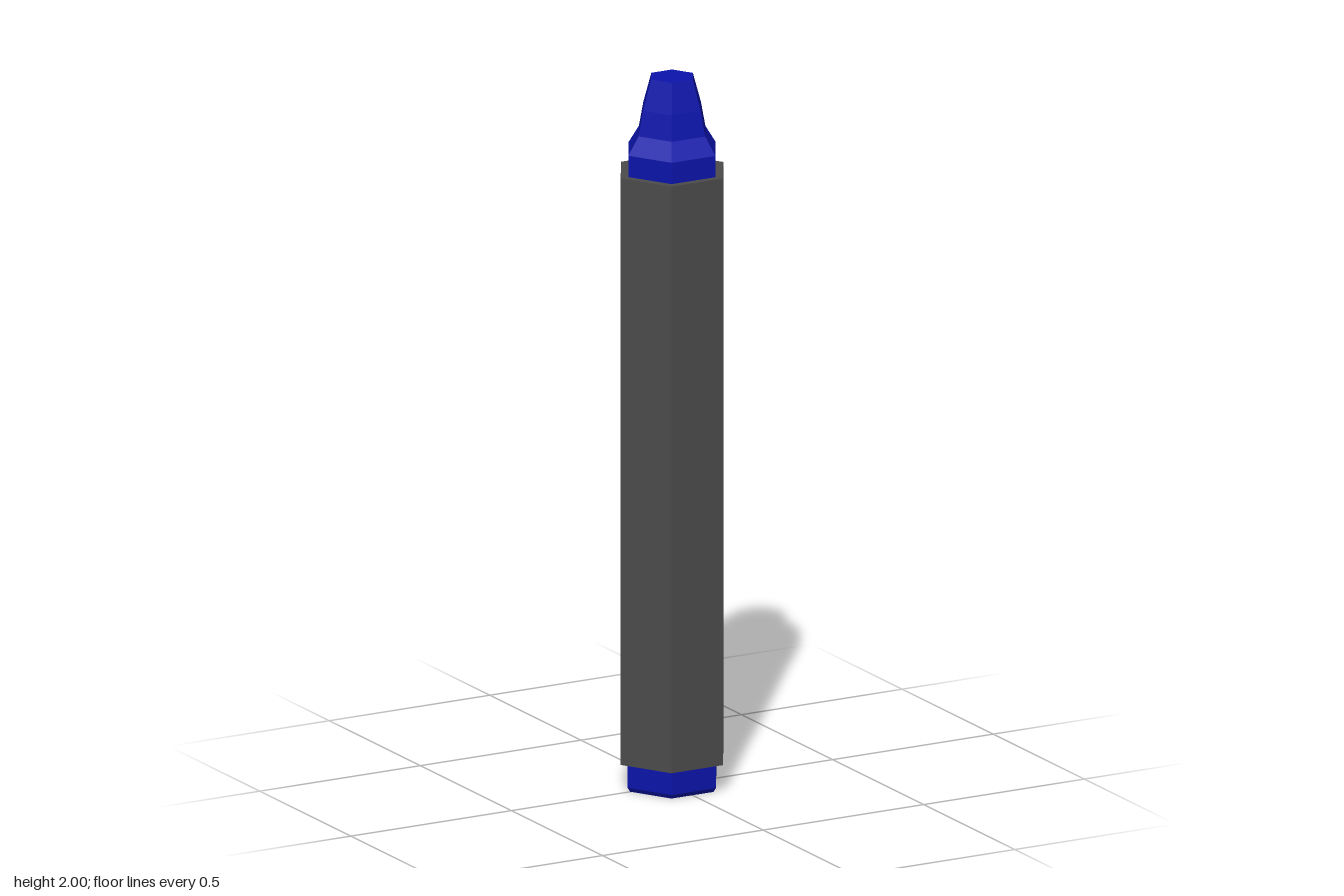
import * as THREE from 'three';

const SIDES = 6;

// Hexagonal solid from [radius, height] steps listed bottom to top, corners on +x and -x
function hexLathe(name, steps, material) {
  const profile = steps.map(([r, y]) => new THREE.Vector2(r, y));
  const mesh = new THREE.Mesh(new THREE.LatheGeometry(profile, SIDES, Math.PI / 2), material);
  mesh.name = name;
  return mesh;
}

export function createModel() {
  const group = new THREE.Group();
  group.name = 'crayon';
  const wax = new THREE.MeshStandardMaterial({ color: 0x0c14ac, flatShading: true });
  const paper = new THREE.MeshStandardMaterial({ color: 0x4c4c4c, flatShading: true });

  // Wax core: dished base, straight shaft, shoulder and tapering blunt tip
  group.add(hexLathe('waxCore', [
    [0, 0.02], [0.035, 0.02], [0.13, 0], [0.138, 0.012],
    [0.136, 1.795], [0.104, 1.845], [0.09, 1.915], [0.065, 2], [0, 2],
  ], wax));

  // Paper sleeve wrapped around the shaft, with flat rims at both ends
  group.add(hexLathe('wrapper', [
    [0.13, 0.08], [0.16, 0.08], [0.16, 1.735], [0.13, 1.735],
  ], paper));

  return group;
}
